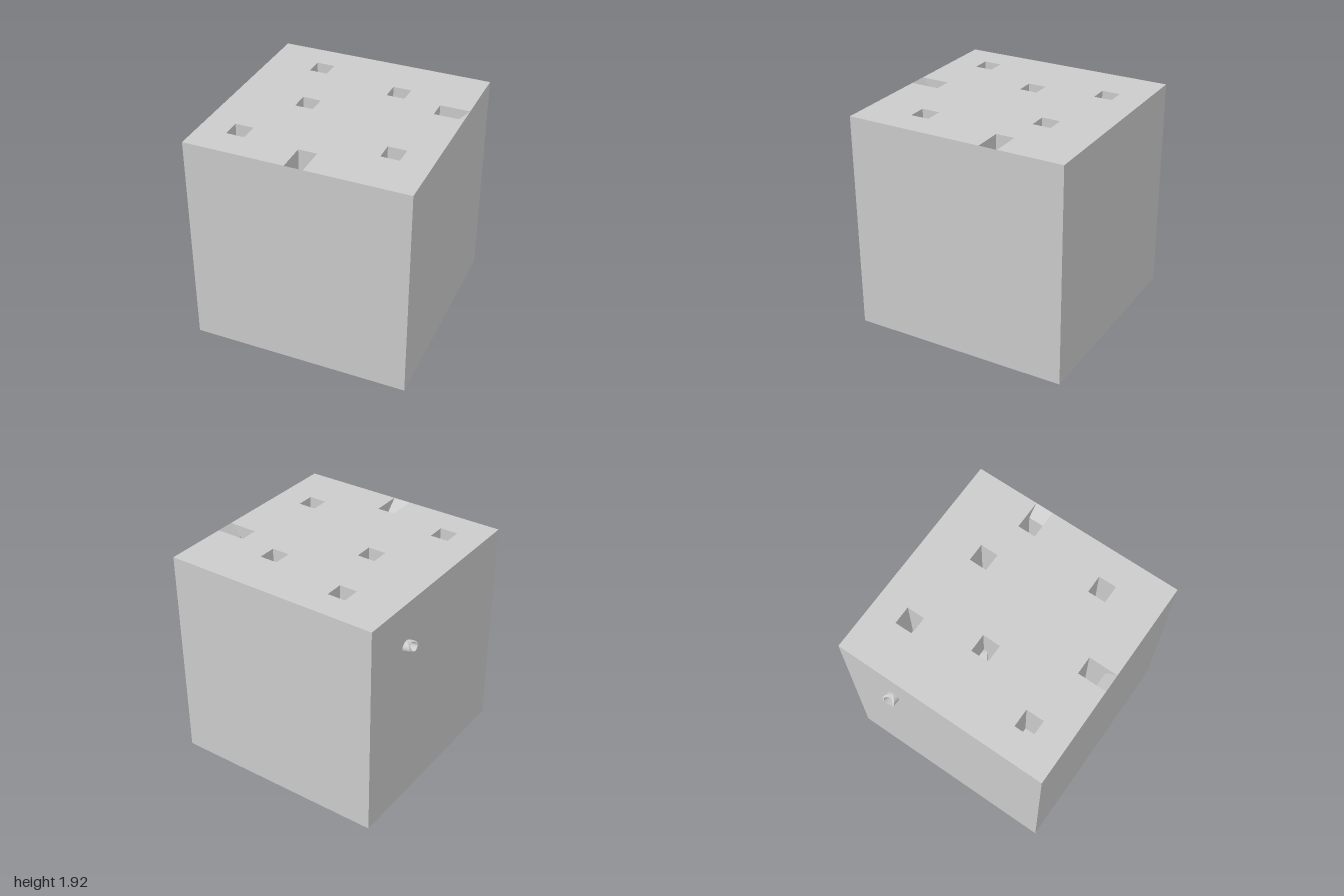
import * as THREE from 'three';

const X0 = -0.92, X1 = 1, Z = 0.96, TOP = 1.925, W = 0.16, DEPTH = 0.5;

// Removes the faces lying in the top plane; flip turns a solid into a cavity
function openTop(geometry, flip) {
  const p = (geometry.index ? geometry.toNonIndexed() : geometry).attributes.position;
  const out = [];
  for (let i = 0; i < p.count; i += 3) {
    const tri = [0, 1, 2].map(k => new THREE.Vector3().fromBufferAttribute(p, i + k));
    if (tri.every(v => v.y > TOP - 1e-4)) continue;
    if (flip) tri.reverse();
    tri.forEach(v => out.push(v.x, v.y, v.z));
  }
  const g = new THREE.BufferGeometry();
  g.setAttribute('position', new THREE.Float32BufferAttribute(out, 3));
  g.computeVertexNormals();
  return g;
}

// Cavity from a side profile, running along x or along z
function pit(profile, x, z, alongZ) {
  const shape = new THREE.Shape(profile.map(([u, y]) => new THREE.Vector2(u, y)));
  const g = new THREE.ExtrudeGeometry(shape, { depth: W, bevelEnabled: false });
  if (alongZ) g.rotateY(-Math.PI / 2).translate(W, 0, 0);
  g.translate(x, TOP, z);
  return openTop(g, true);
}

export function createModel() {
  const group = new THREE.Group();
  const material = new THREE.MeshStandardMaterial({ color: 0xcccccc });
  const add = (name, geometry, mat = material) => {
    const mesh = new THREE.Mesh(geometry, mat);
    mesh.name = name;
    group.add(mesh);
    return mesh;
  };

  // Block sides and base
  const box = new THREE.BoxGeometry(X1 - X0, TOP, 2 * Z);
  box.translate((X0 + X1) / 2, TOP / 2, 0);
  add('block', openTop(box, false));

  // Low corners (x, z) of the square pits and the two ramped pits
  const pits = [[-0.51, -0.71], [-0.36, -0.085], [-0.67, 0.54], [0.58, 0.385]];
  const stepped = [0.27, -0.55];
  const sideRamp = [0.74, -0.4], frontRamp = [-0.04, 0.7];

  // Top face with square openings and edge notches
  const v = (x, z) => new THREE.Vector2(x, -z);
  const [fx, fz] = frontRamp, [sx, sz] = sideRamp;
  const top = new THREE.Shape([
    v(X0, Z), v(fx, Z), v(fx, fz), v(fx + W, fz), v(fx + W, Z), v(X1, Z),
    v(X1, sz + W), v(sx, sz + W), v(sx, sz), v(X1, sz), v(X1, -Z), v(X0, -Z),
  ]);
  for (const [x, z] of [...pits, stepped])
    top.holes.push(new THREE.Path([v(x, z), v(x + W, z), v(x + W, z + W), v(x, z + W)]));
  add('topFace', new THREE.ShapeGeometry(top).rotateX(-Math.PI / 2).translate(0, TOP, 0));

  // Pits
  const square = [[0, 0], [0, -DEPTH], [W, -DEPTH], [W, 0]];
  const step = [[0, 0], [0, -DEPTH], [0.09, -DEPTH], [0.09, -DEPTH + 0.1], [W, -DEPTH + 0.1], [W, 0]];
  const ramp = [[0, 0], [0, -DEPTH], [W, -DEPTH], [W, -0.1], [0.26, 0]];
  pits.forEach(([x, z]) => add('pit', pit(square, x, z, false)));
  add('steppedPit', pit(step, ...stepped, true));
  add('sideRampPit', pit(ramp, sx, sz, false));
  add('frontRampPit', pit(ramp, fx, fz, true));

  // Round rod ending inside the middle pit
  const axis = new THREE.Vector3(-0.53, 0, -0.85).normalize();
  const rod = add('innerRod', new THREE.CylinderGeometry(0.09, 0.09, 0.3, 32));
  rod.quaternion.setFromUnitVectors(new THREE.Vector3(0, 1, 0), axis);
  rod.position.set(-0.21, TOP - 0.4, -0.045).addScaledVector(axis, 0.15);

  // Scoop-shaped spout: a short pipe whose lip recedes toward its top
  const profile = [[0.058, 0], [0.058, 1], [0.042, 1], [0.042, 0]].map(p => new THREE.Vector2(...p));
  const spout = new THREE.LatheGeometry(profile, 32).toNonIndexed();
  const pos = spout.attributes.position;
  for (let i = 0; i < pos.count; i++) {
    const up = pos.getX(i), along = pos.getY(i), side = pos.getZ(i);
    const h = THREE.MathUtils.clamp((up + 0.058) / 0.116, 0, 1);
    const reach = 0.08 * along * Math.sqrt(1 - h * h);
    pos.setXYZ(i, X0 - reach, 1.54 + up * 0.86 + reach * 0.22, -0.47 + side);
  }
  spout.computeVertexNormals();
  add('spout', spout, new THREE.MeshStandardMaterial({ color: 0xcccccc, side: THREE.DoubleSide }));

  return group;
}
